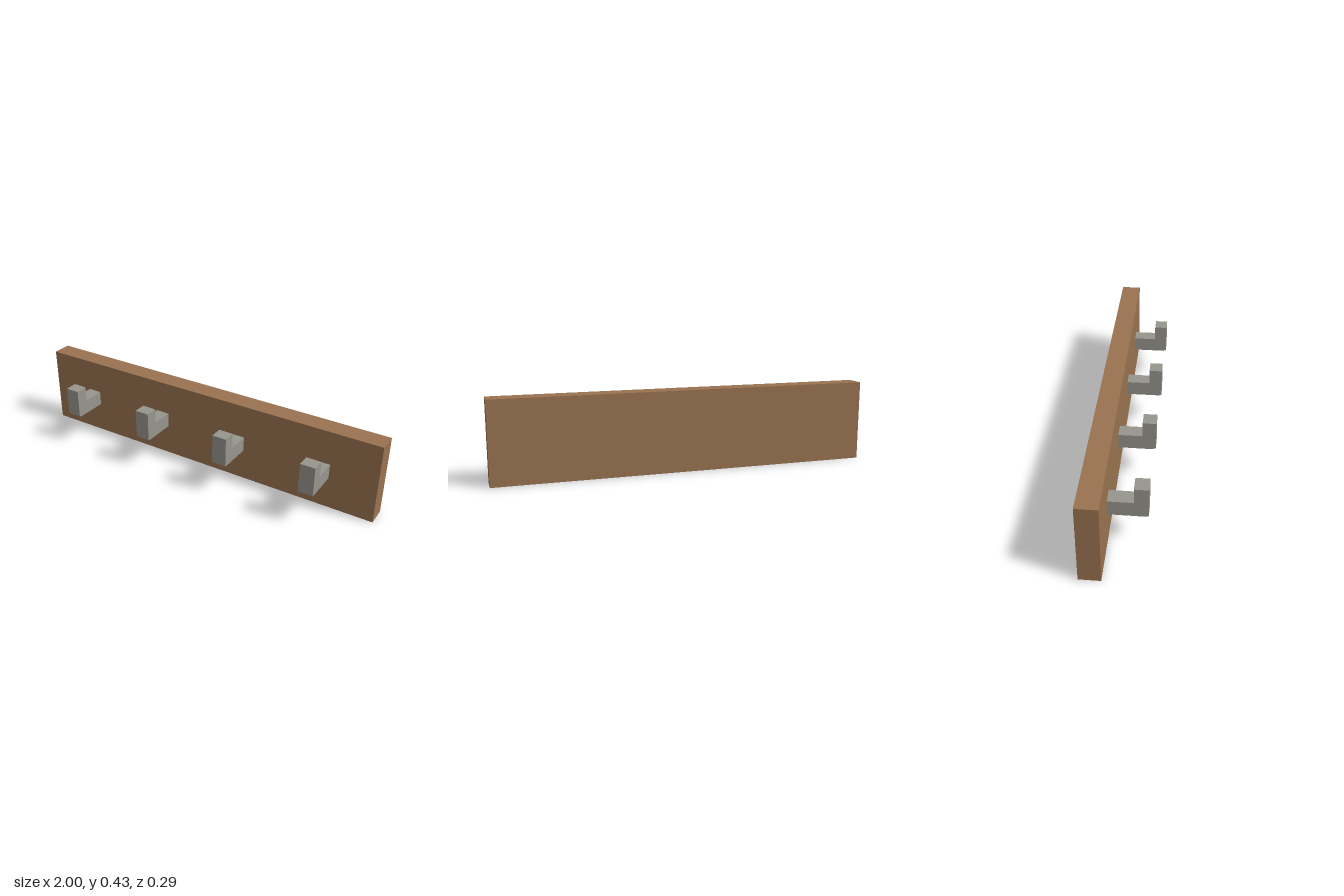
import * as THREE from 'three';

const wood = new THREE.MeshStandardMaterial({ name: 'brown wood', color: 0x997350 });
const metal = new THREE.MeshStandardMaterial({ name: 'grey metal', color: 0x96958d });

// Box given by its lower and upper corners
function box(name, material, [x0, y0, z0], [x1, y1, z1]) {
  const mesh = new THREE.Mesh(new THREE.BoxGeometry(x1 - x0, y1 - y0, z1 - z0), material);
  mesh.position.set((x0 + x1) / 2, (y0 + y1) / 2, (z0 + z1) / 2);
  mesh.name = name;
  return mesh;
}

// L-shaped hook: an arm out of the board and an upright tip
function createHook(x) {
  const hook = new THREE.Group();
  hook.name = 'hook';
  hook.position.x = x;
  const w = 0.039;
  hook.add(
    box('hookArm', metal, [-w + 0.001, 0.169, -0.05], [w - 0.001, 0.248, 0.136]),
    box('hookTip', metal, [-w, 0.174, 0.079], [w, 0.33, 0.147])
  );
  return hook;
}

export function createModel() {
  const rack = new THREE.Group();
  rack.name = 'coatRack';
  rack.add(box('backBoard', wood, [-1, 0, -0.147], [1, 0.427, -0.042]));
  for (const x of [-0.72, -0.24, 0.235, 0.714]) rack.add(createHook(x));
  return rack;
}
